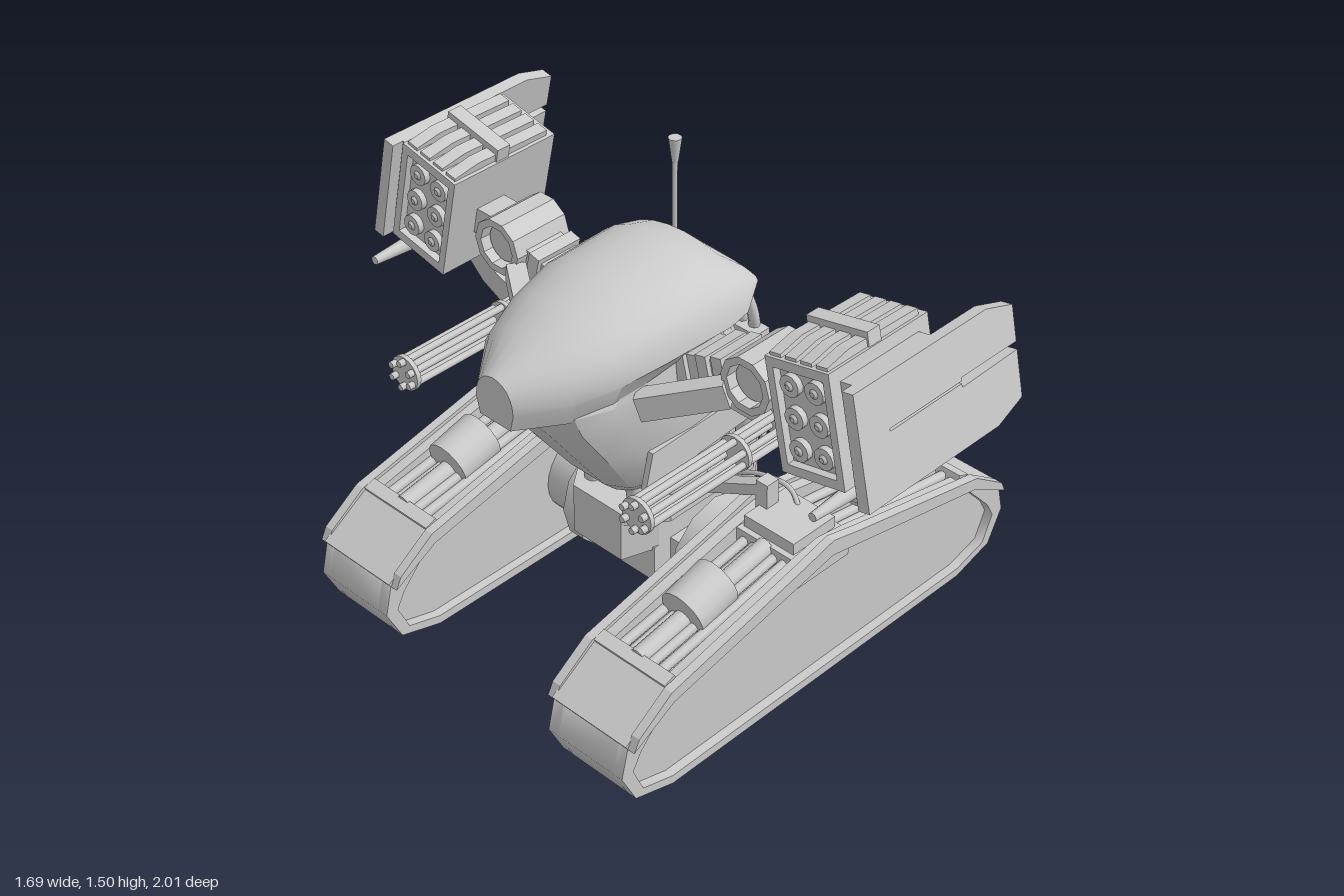
import * as THREE from 'three';
import { toCreasedNormals } from 'three/addons/utils/BufferGeometryUtils.js';

const mat = new THREE.MeshStandardMaterial({ color: 0xcccccc, side: THREE.DoubleSide });
const V = (x, y, z) => new THREE.Vector3(x, y, z);

function add(parent, name, geo, x = 0, y = 0, z = 0) {
  const m = new THREE.Mesh(geo, mat);
  m.name = name;
  m.position.set(x, y, z);
  parent.add(m);
  return m;
}
// box given by its extents
const box = (p, name, x0, x1, y0, y1, z0, z1) =>
  add(p, name, new THREE.BoxGeometry(x1 - x0, y1 - y0, z1 - z0), (x0 + x1) / 2, (y0 + y1) / 2, (z0 + z1) / 2);
// round bar between two points
function bar(p, name, a, b, r0, r1 = r0, n = 12) {
  const m = add(p, name, new THREE.CylinderGeometry(r1, r0, a.distanceTo(b), n));
  m.position.copy(a).lerp(b, 0.5);
  m.quaternion.setFromUnitVectors(V(0, 1, 0), b.clone().sub(a).normalize());
}
// square bar between two points
function beam(p, name, a, b, w, h) {
  const m = add(p, name, new THREE.BoxGeometry(w, h, a.distanceTo(b)));
  m.position.copy(a).lerp(b, 0.5);
  m.lookAt(b);
}
const tube = (p, name, pts, r) =>
  add(p, name, new THREE.TubeGeometry(new THREE.CatmullRomCurve3(pts), 20, r, 8));
const shape = pts => new THREE.Shape(pts.map(q => new THREE.Vector2(q[0], q[1])));
function plate(p, name, pts, z0, z1, hole) {
  const s = shape(pts);
  if (hole) s.holes.push(shape(hole));
  return add(p, name, new THREE.ExtrudeGeometry(s, { depth: z1 - z0, bevelEnabled: false }), 0, 0, z0);
}
// turned part along +x from [x, radius] points
function turned(p, name, pts, n, x, y, z) {
  const g = new THREE.LatheGeometry(pts.map(q => new THREE.Vector2(q[1], q[0])), n);
  add(p, name, toCreasedNormals(g, 0.6), x, y, z).rotation.z = -Math.PI / 2;
}
// skin over equal-sized rings, capped at both ends
function loft(rings, crease) {
  const n = rings[0].length, idx = [], last = (rings.length - 1) * n;
  for (let i = 0; i < rings.length - 1; i++) for (let j = 0; j < n; j++) {
    const a = i * n + j, b = i * n + (j + 1) % n;
    idx.push(a, b, b + n, a, b + n, a + n);
  }
  for (let j = 1; j < n - 1; j++) idx.push(0, j + 1, j, last, last + j, last + j + 1);
  const g = new THREE.BufferGeometry().setFromPoints(rings.flat());
  g.setIndex(idx);
  return toCreasedNormals(g, crease);
}
// mirrored copy across z = 0 with corrected winding
function mirrorZ(group, name) {
  const out = new THREE.Group();
  out.name = name;
  group.updateMatrixWorld(true);
  group.traverse(o => {
    if (!o.isMesh) return;
    const g = o.geometry.clone().applyMatrix4(o.matrixWorld).scale(1, 1, -1);
    const src = g.index ? [...g.index.array] : [...Array(g.attributes.position.count).keys()];
    g.setIndex(src.reverse());
    add(out, o.name, g);
  });
  return out;
}
const bothSides = half => [...half, ...half.slice().reverse().filter(q => q[0] !== 0).map(q => [-q[0], q[1]])];

function buildTrack() {
  const g = new THREE.Group();
  const lower = [[0.64, 0], [0.79, 0.045], [0.845, 0.155], [0.82, 0.26]];
  const outline = bothSides([...lower, [0.66, 0.375], [0.12, 0.49], [0, 0.51]]);
  const core = bothSides([...lower, [0.66, 0.35], [0.12, 0.41]]);
  const inset = bothSides([[0.64, 0.03], [0.76, 0.065], [0.8, 0.155], [0.77, 0.21], [0.66, 0.33], [0, 0.455]]);
  const tread = plate(g, 'trackCore', core, 0.385, 0.61);
  tread.geometry = toCreasedNormals(tread.geometry, 1.2);
  // rims with a sunken side panel
  for (const [a, b, c] of [[0.35, 0.39, 0.38], [0.605, 0.645, 0.605]]) {
    const rim = plate(g, 'trackRim', outline, a, b, inset);
    rim.geometry = toCreasedNormals(rim.geometry, 1.2);
    plate(g, 'sidePanel', inset, c, c + 0.01);
  }
  const skirt = [[0, 0.535], [0.12, 0.505], [0.67, 0.385], [0.8, 0.295], [0.82, 0.255], [0.66, 0.345], [0, 0.48]];
  for (const s of [-1, 1]) {
    const pts = skirt.map(q => [q[0] * s, q[1]]);
    for (const z of [0.325, 0.64]) plate(g, 'fenderEdge', pts, z, z + 0.03);
    // end cover and suspension in the open channel
    beam(g, 'endCover', V(s * 0.64, 0.372, 0.497), V(s * 0.82, 0.255, 0.497), 0.295, 0.03);
    beam(g, 'channelLip', V(s * 0.62, 0.385, 0.497), V(s * 0.66, 0.37, 0.497), 0.28, 0.035);
    for (const z of [0.42, 0.46, 0.535, 0.575])
      bar(g, 'suspensionRod', V(s * 0.08, 0.46, z), V(s * 0.64, 0.37, z), 0.016, 0.016, 8);
    bar(g, 'damper', V(s * 0.305, 0.47, 0.497), V(s * 0.45, 0.43, 0.497), 0.08, 0.08, 16);
    bar(g, 'damperSleeve', V(s * 0.1, 0.475, 0.497), V(s * 0.63, 0.38, 0.497), 0.03);
  }
  box(g, 'centreBridge', -0.11, 0.11, 0.4, 0.49, 0.36, 0.635);
  box(g, 'bridgeTop', -0.09, 0.09, 0.48, 0.53, 0.4, 0.595);
  // wheel hub and link to the hull
  bar(g, 'hubDisc', V(0, 0.24, 0.2), V(0, 0.24, 0.26), 0.195, 0.195, 12);
  bar(g, 'hub', V(0, 0.24, 0.26), V(0, 0.24, 0.38), 0.145, 0.145, 24);
  box(g, 'axleBlock', -0.13, 0.13, 0.15, 0.32, 0.135, 0.205);
  beam(g, 'hipStrut', V(0, 0.59, 0.41), V(0, 0.47, 0.17), 0.05, 0.035);
  box(g, 'strutMount', -0.025, 0.025, 0.5, 0.615, 0.385, 0.43);
  tube(g, 'hipHose', [V(0.05, 0.5, 0.5), V(0.07, 0.555, 0.44), V(0.08, 0.54, 0.32), V(0.08, 0.47, 0.17)], 0.008);
  return g;
}

function buildArm() {
  const g = new THREE.Group();
  // upper arm and shoulder ring
  beam(g, 'upperArm', V(-0.1, 1.0, 0.16), V(-0.1, 1.08, 0.43), 0.14, 0.085);
  for (const [z, h] of [[0.21, 0.14], [0.3, 0.12], [0.36, 0.13]])
    beam(g, 'armCollar', V(-0.1, 0.955 + z * 0.28, z), V(-0.1, 0.965 + z * 0.28, z + 0.04), 0.17, h);
  beam(g, 'armStay', V(-0.34, 0.97, 0.22), V(-0.2, 1.05, 0.43), 0.06, 0.08);
  for (const x of [0.04, 0.1]) beam(g, 'armRail', V(x, 0.93, 0.18), V(x, 0.95, 0.41), 0.035, 0.06);
  turned(g, 'shoulderRing', [[-0.105, 0.068], [-0.105, 0.092], [0.105, 0.092], [0.105, 0.068], [-0.105, 0.068]], 10, -0.105, 1.107, 0.5);
  bar(g, 'shoulderCore', V(-0.18, 1.107, 0.5), V(-0.05, 1.107, 0.5), 0.06, 0.06, 20);
  box(g, 'podMount', -0.15, -0.04, 1.06, 1.15, 0.575, 0.67);

  // rotary gun on the lower arm
  box(g, 'lowerArm', -0.02, 0.12, 0.815, 0.91, 0.18, 0.41);
  turned(g, 'gunHousing', [[-0.03, 0], [-0.03, 0.06], [0, 0.082], [0.07, 0.082], [0.07, 0.076], [0.15, 0.076], [0.17, 0.088],
    [0.23, 0.088], [0.23, 0.08], [0.29, 0.08], [0.29, 0.072], [0.39, 0.066], [0.39, 0.05], [0.36, 0.045], [0.36, 0]], 24, 0, 0.868, 0.475);
  for (let i = 0; i < 6; i++) {
    const a = i * Math.PI / 3, y = 0.868 + 0.042 * Math.cos(a), z = 0.475 + 0.042 * Math.sin(a);
    bar(g, 'gunBarrel', V(-0.63, y, z), V(-0.02, y, z), 0.011, 0.011, 8);
  }
  for (const x of [-0.61, -0.22]) bar(g, 'barrelClamp', V(x, 0.868, 0.475), V(x + 0.015, 0.868, 0.475), 0.057, 0.057, 16);

  // curved feed chute from gun to pod
  const chute = new THREE.CatmullRomCurve3([V(0.15, 0.8, 0.535), V(0.125, 0.74, 0.59), V(0.095, 0.705, 0.66),
    V(0.07, 0.72, 0.735), V(0.05, 0.79, 0.81), V(0.035, 0.92, 0.885)]);
  const rings = [];
  for (let i = 0; i <= 8; i++) {
    const p = chute.getPoint(i / 8), t = chute.getTangent(i / 8);
    const side = V(1, 0, 0).addScaledVector(t, -t.x).normalize(), up = t.clone().cross(side);
    rings.push([[-1, -1], [1, -1], [1, 1], [-1, 1]].map(([u, v]) =>
      p.clone().addScaledVector(side, u * 0.045).addScaledVector(up, v * 0.043)));
  }
  add(g, 'feedChute', loft(rings, 0.6));
  box(g, 'chuteInlet', 0.1, 0.2, 0.82, 0.87, 0.48, 0.57);

  // missile pod, leaning inwards at the top
  const pod = new THREE.Group();
  pod.name = 'missilePod';
  pod.position.set(0, 1.145, 0.765);
  pod.rotation.x = -0.215;
  g.add(pod);
  box(pod, 'podBody', -0.235, 0.115, -0.18, 0.18, -0.115, 0.115);
  const rect = (w, h) => [[-w, -h], [w, -h], [w, h], [-w, h]];
  for (const x of [-0.26, 0.11]) {
    const f = plate(pod, 'podFrame', rect(0.115, 0.18), 0, 0.035, rect(0.09, 0.15));
    f.rotation.y = Math.PI / 2;
    f.position.x = x;
  }
  for (const y of [-0.1, 0, 0.1]) for (const z of [-0.045, 0.045]) {
    bar(pod, 'missileTube', V(-0.255, y, z), V(-0.22, y, z), 0.034, 0.034, 12);
    bar(pod, 'missileTip', V(-0.262, y, z), V(-0.25, y, z), 0.008, 0.02, 12);
  }
  for (const z of [-0.084, -0.028, 0.028, 0.084])
    plate(pod, 'topRidge', [[-0.25, 0.17], [0.12, 0.17], [0.12, 0.2], [-0.16, 0.207], [-0.25, 0.19]], z - 0.02, z + 0.02);
  box(pod, 'topStrap', -0.09, -0.04, 0.17, 0.225, -0.11, 0.11);
  box(pod, 'shieldMount', -0.22, 0.1, -0.14, 0.14, 0.11, 0.16);
  const shield = [[-0.26, -0.225], [0.29, -0.225], [0.4, -0.185], [0.4, -0.035], [0.16, -0.04], [0.16, -0.028], [-0.14, -0.028],
    [-0.14, -0.02], [0.16, -0.02], [0.16, -0.01], [0.4, -0.01], [0.4, 0.105], [0.29, 0.14], [-0.26, 0.14]];
  plate(pod, 'sideShield', shield, 0.155, 0.195);
  box(pod, 'underBox', -0.2, 0.16, -0.25, -0.18, 0.03, 0.12);
  bar(pod, 'podBarrel', V(-0.36, -0.215, 0.08), V(-0.18, -0.215, 0.08), 0.014, 0.026, 10);
  return g;
}

export function createModel() {
  const root = new THREE.Group();
  root.name = 'trackedWalker';

  for (const [name, half] of [['track', buildTrack()], ['arm', buildArm()]]) {
    half.name = name + 'Front';
    root.add(half, mirrorZ(half, name + 'Rear'));
  }

  // domed shell: arched ribs along x as [x, half width, top, rim, underside]
  const domeRibs = [[-0.685, 0.075, 1.13, 1.035, 0.98], [-0.55, 0.185, 1.2, 1.06, 0.98], [-0.42, 0.235, 1.245, 1.08, 0.99],
    [-0.26, 0.265, 1.28, 1.1, 1.03], [-0.02, 0.272, 1.285, 1.1, 1.06], [0.07, 0.255, 1.26, 1.1, 1.075], [0.17, 0.2, 1.165, 1.135, 1.115]];
  add(root, 'domeShell', loft(domeRibs.map(([x, w, top, rim, under]) => [
    ...Array.from({ length: 13 }, (_, j) => {
      const a = (j / 12 - 0.5) * Math.PI;
      return V(x, rim + (top - rim) * Math.pow(Math.max(0, Math.cos(a)), 0.85), w * Math.sin(a));
    }), V(x, under, w * 0.82), V(x, under, -w * 0.82)]), 0.6));

  // lower body: oval sections as [y, front x, back x, half width]
  const bodyRings = [[0.53, -0.27, 0.12, 0.12], [0.6, -0.34, 0.2, 0.185], [0.78, -0.475, 0.23, 0.222],
    [0.92, -0.575, 0.2, 0.222], [0.99, -0.6, 0.16, 0.22], [1.12, -0.42, 0.12, 0.205]];
  add(root, 'lowerBody', loft(bodyRings.map(([y, x0, x1, w]) => Array.from({ length: 14 }, (_, j) => {
    const a = (j / 14) * 2 * Math.PI, s = Math.sin(a), c = Math.cos(a);
    return V((x0 + x1) / 2 + (x1 - x0) / 2 * Math.sign(s) * Math.pow(Math.abs(s), 0.75), y, w * Math.sign(c) * Math.pow(Math.abs(c), 0.65));
  })), 0.5));
  for (const s of [-1, 1]) {
    plate(root, 'sideArmour', [[-0.32, 0.65], [0.21, 0.69], [0.23, 0.72], [0.0, 0.78], [-0.29, 0.77]], s * 0.215 - 0.01, s * 0.215 + 0.01);
    plate(root, 'backFin', [[0.17, 0.54], [0.22, 0.62], [0.26, 0.8], [0.2, 0.8]], s * 0.222 - 0.004, s * 0.222 + 0.004);
    bar(root, 'backPiston', V(0.21, 0.32, s * 0.13), V(0.21, 0.62, s * 0.13), 0.034);
    bar(root, 'pistonRod', V(0.21, 0.6, s * 0.13), V(0.21, 0.7, s * 0.13), 0.02);
    bar(root, 'frontPiston', V(-0.22, 0.42, s * 0.09), V(-0.24, 0.6, s * 0.09), 0.026);
    for (const y of [0.86, 0.7]) box(root, 'backClamp', 0.16, 0.25, y - 0.035, y + 0.035, s * 0.13 - 0.03, s * 0.13 + 0.03);
  }
  // cables and crossbars on the back: z at top, middle and bottom
  for (const [a, b, c] of [[-0.07, -0.14, -0.06], [-0.03, -0.05, -0.03], [0.0, 0.03, 0.0], [0.05, 0.08, 0.02], [0.09, 0.13, 0.04]])
    tube(root, 'backCable', [V(0.1, 1.14, a), V(0.19, 1.07, (a + b) / 2), V(0.235, 0.93, b),
      V(0.25, 0.78, (b + c) / 2), V(0.2, 0.62, c)], 0.018);
  box(root, 'upperCrossbar', 0.2, 0.26, 0.88, 0.91, -0.17, 0.17);
  box(root, 'lowerCrossbar', 0.2, 0.27, 0.68, 0.715, -0.16, 0.16);

  // pelvis and turntable
  for (const [name, y, h, w] of [['pelvis', 0.31, 0.13, 0.14], ['hipPlate', 0.44, 0.045, 0.19]]) {
    const deck = plate(root, name, bothSides([[0.18, -w], [0.3, -0.1], [0.3, 0.1], [0.18, w]]), 0, h);
    deck.rotation.x = -Math.PI / 2;
    deck.position.y = y;
  }
  box(root, 'hullBeam', -0.2, 0.2, 0.19, 0.32, -0.14, 0.14);
  bar(root, 'turntable', V(-0.05, 0.43, 0), V(-0.05, 0.56, 0), 0.17, 0.15, 24);
  box(root, 'rearPanel', 0.1, 0.22, 0.44, 0.6, -0.075, 0.075);

  // antenna
  bar(root, 'antennaRod', V(0.14, 1.12, -0.105), V(0.14, 1.44, -0.105), 0.008, 0.008, 8);
  bar(root, 'antennaTip', V(0.14, 1.42, -0.105), V(0.14, 1.5, -0.105), 0.01, 0.021, 10);
  return root;
}
